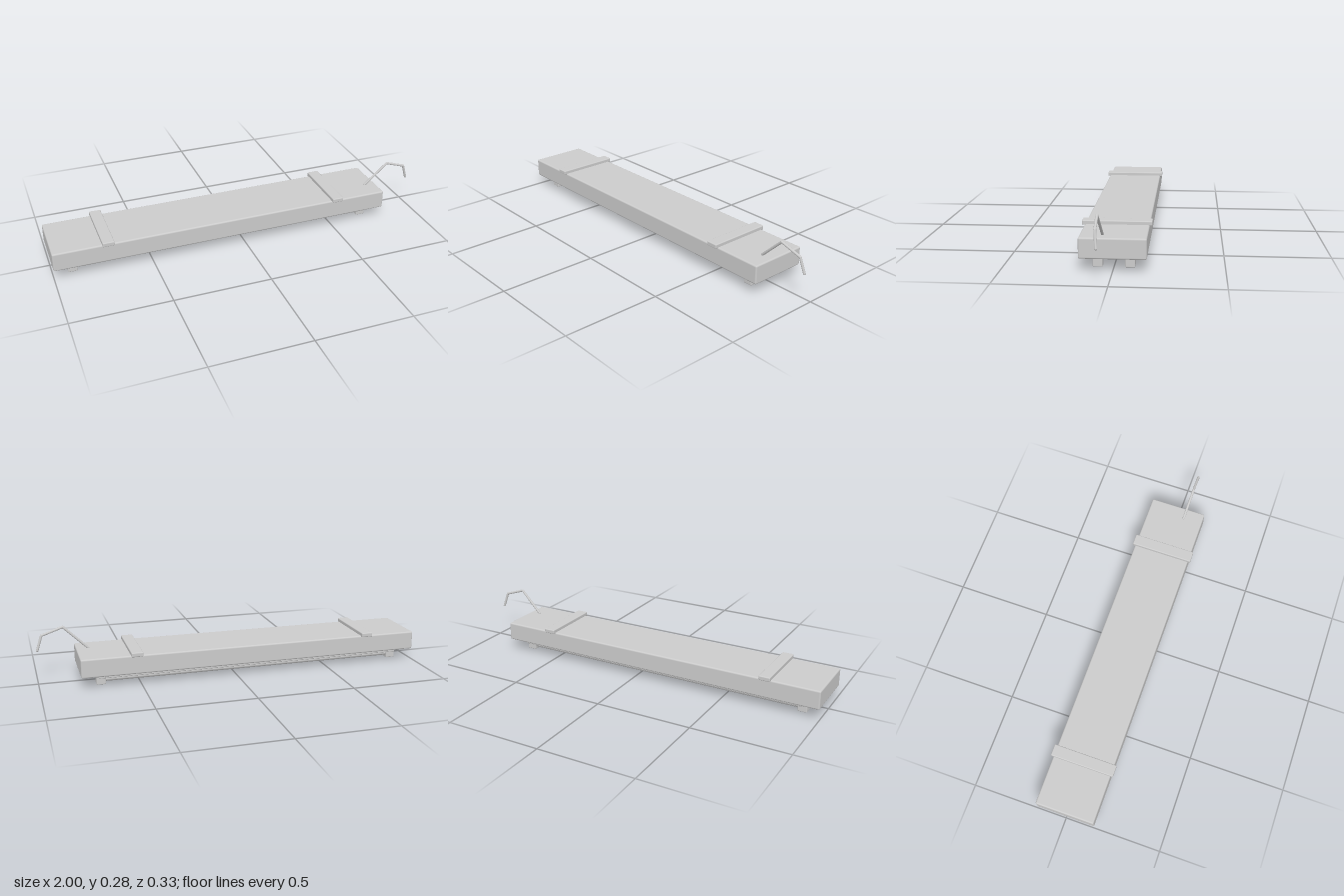
import * as THREE from 'three';
import { RoundedBoxGeometry } from 'three/addons/geometries/RoundedBoxGeometry.js';

export function createModel() {
  const group = new THREE.Group();
  const material = new THREE.MeshStandardMaterial({ color: 0xcccccc });

  const add = (name, geometry, x = 0, y = 0, z = 0) => {
    const mesh = new THREE.Mesh(geometry, material);
    mesh.name = name;
    mesh.position.set(x, y, z);
    group.add(mesh);
    return mesh;
  };
  // Rounded box given by its lower and upper corners
  const box = (name, [x0, y0, z0], [x1, y1, z1], radius) =>
    add(name, new RoundedBoxGeometry(x1 - x0, y1 - y0, z1 - z0, 3, radius),
      (x0 + x1) / 2, (y0 + y1) / 2, (z0 + z1) / 2);

  // Long lamp housing and the ballast plate beneath it
  box('housing', [-1, 0.06, -0.152], [0.8, 0.157, 0.153], 0.008);
  box('reflectorPlate', [-0.91, 0.042, -0.123], [0.71, 0.066, 0.125], 0.004);

  // Mounting straps across the top
  for (const x of [-0.723, 0.52]) {
    box('mountingStrap', [x - 0.03, 0.152, -0.164], [x + 0.03, 0.175, 0.166], 0.005);
  }

  // Two lamp tubes, each held by a socket at both ends
  for (const z of [-0.073, 0.074]) {
    const tube = add('lampTube', new THREE.CylinderGeometry(0.0145, 0.0145, 1.58, 24), -0.1025, 0.027, z);
    tube.rotation.z = Math.PI / 2;
    for (const x of [-0.9, 0.697]) {
      box('socket', [x - 0.024, 0.002, z - 0.0225], [x + 0.024, 0.064, z + 0.0225], 0.004);
    }
  }

  // Small switch pin under the rear edge
  add('switchPin', new THREE.CylinderGeometry(0.003, 0.0015, 0.018, 10), 0.68, 0.055, -0.13);

  // Bent power cord: straight rods with round joints
  const points = [[0.738, 0.158, 0.049], [0.86, 0.274, 0.059], [0.968, 0.238, 0.056], [0.993, 0.163, 0.05]]
    .map((p) => new THREE.Vector3(...p));
  const radius = 0.0065;
  points.forEach((p, i) => {
    add('cordJoint', new THREE.SphereGeometry(radius, 12, 8), p.x, p.y, p.z);
    if (i === 0) return;
    const dir = p.clone().sub(points[i - 1]);
    const rod = add('cordSegment', new THREE.CylinderGeometry(radius, radius, dir.length(), 12));
    rod.position.copy(p).add(points[i - 1]).multiplyScalar(0.5);
    rod.quaternion.setFromUnitVectors(new THREE.Vector3(0, 1, 0), dir.normalize());
  });

  return group;
}
